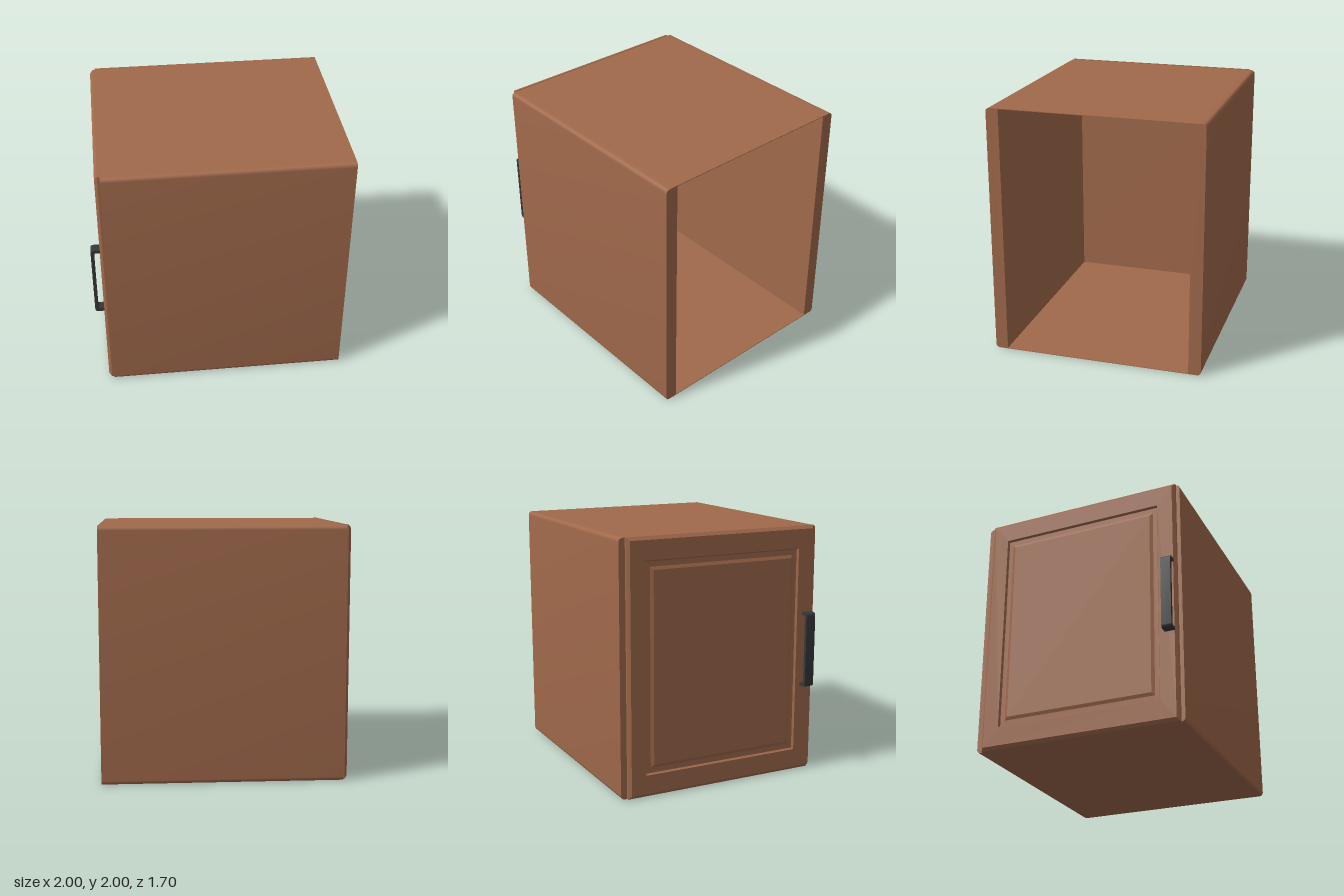
import * as THREE from 'three';
import { toCreasedNormals } from 'three/addons/utils/BufferGeometryUtils.js';

const FRONT = -0.89, BACK = 1; // the carcass runs along x, its door faces -x

// Closed flat-shaded shell through rectangular rings [x, z inset, y inset], back to front
function ringShell(rings, z0, z1, y0, y1) {
  const loops = rings.map(([x, zi, yi]) => [
    [x, y0 + yi, z0 + zi], [x, y0 + yi, z1 - zi],
    [x, y1 - yi, z1 - zi], [x, y1 - yi, z0 + zi],
  ]);
  const pos = [];
  const quad = (a, b, c, d) => pos.push(...a, ...b, ...c, ...a, ...c, ...d);
  for (let k = 0; k < loops.length - 1; k++) {
    const a = loops[k], b = loops[k + 1];
    for (let i = 0; i < 4; i++) {
      const j = (i + 1) % 4;
      quad(a[i], a[j], b[j], b[i]);
    }
  }
  quad(...loops[loops.length - 1]);
  quad(...[...loops[0]].reverse());
  const g = new THREE.BufferGeometry();
  g.setAttribute('position', new THREE.Float32BufferAttribute(pos, 3));
  g.computeVertexNormals();
  return g;
}

// Side wall: upright board with rounded outer long edges
function wallGeometry(side) {
  const u0 = -0.75 * side, u1 = -0.85 * side, r = 0.035, ur = u1 + r * side;
  const s = new THREE.Shape();
  s.moveTo(u0, 0);
  s.lineTo(ur, 0);
  s.quadraticCurveTo(u1, 0, u1, r);
  s.lineTo(u1, 1.997 - r);
  s.quadraticCurveTo(u1, 1.997, ur, 1.997);
  s.lineTo(u0, 1.997);
  s.closePath();
  const g = new THREE.ExtrudeGeometry(s, { depth: BACK - FRONT, bevelEnabled: false, curveSegments: 6 });
  g.rotateY(Math.PI / 2).translate(FRONT, 0, 0);
  return toCreasedNormals(g, 0.6);
}

// Pull handle: square-section bracket with rounded corners
function handleGeometry() {
  const xo = -1, xd = -0.925, y0 = 0.71, y1 = 1.315, t = 0.025, r = 0.028, q = 0.008;
  const s = new THREE.Shape();
  s.moveTo(xd, y0);
  s.lineTo(xo + r, y0);
  s.quadraticCurveTo(xo, y0, xo, y0 + r);
  s.lineTo(xo, y1 - r);
  s.quadraticCurveTo(xo, y1, xo + r, y1);
  s.lineTo(xd, y1);
  s.lineTo(xd, y1 - t);
  s.lineTo(xo + t + q, y1 - t);
  s.lineTo(xo + t, y1 - t - q);
  s.lineTo(xo + t, y0 + t + q);
  s.lineTo(xo + t + q, y0 + t);
  s.lineTo(xd, y0 + t);
  s.closePath();
  const g = new THREE.ExtrudeGeometry(s, { depth: 0.08, bevelEnabled: false, curveSegments: 5 });
  g.translate(0, 0, 0.72);
  return toCreasedNormals(g, 0.6);
}

export function createModel() {
  const wood = new THREE.MeshStandardMaterial({ color: 0xa0694b });
  wood.name = 'wood';
  const metal = new THREE.MeshStandardMaterial({ color: 0x363738 });
  metal.name = 'darkMetal';

  const model = new THREE.Group();
  model.name = 'cabinet';
  const add = (name, geometry, material) => {
    const m = new THREE.Mesh(geometry, material);
    m.name = name;
    model.add(m);
    return m;
  };

  // Carcass, open at the back
  add('frontWall', wallGeometry(1), wood);
  add('backWall', wallGeometry(-1), wood);
  const panel = new THREE.BoxGeometry(BACK - FRONT, 0.005, 1.5);
  const midX = (FRONT + BACK) / 2;
  add('topPanel', panel, wood).position.set(midX, 1.9945, 0);
  add('bottomPanel', panel, wood).position.set(midX, 0.0025, 0);

  // Door: chamfered frame, recess and raised centre panel
  add('door', ringShell([
    [FRONT, 0, 0], [-0.908, 0, 0], [-0.93, 0.022, 0.025],
    [-0.93, 0.145, 0.175], [-0.912, 0.155, 0.185],
    [-0.912, 0.19, 0.225], [-0.922, 0.215, 0.25],
  ], -0.8, 0.82, 0, 2), wood);

  add('handle', handleGeometry(), metal);
  return model;
}
